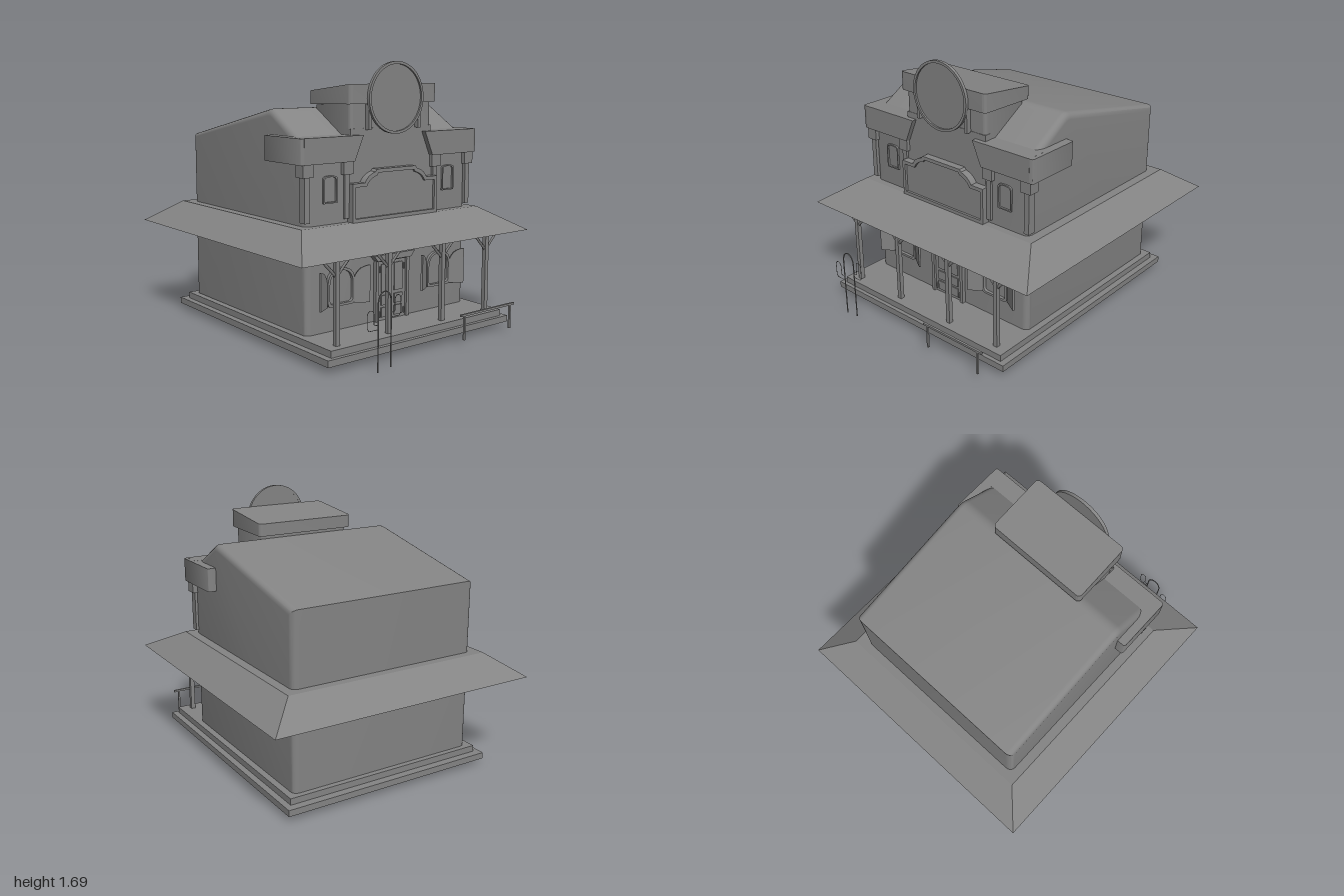
import * as THREE from 'three';
import { toCreasedNormals } from 'three/addons/utils/BufferGeometryUtils.js';

const grey = new THREE.MeshStandardMaterial({ color: 0x848484, side: THREE.DoubleSide });

export function createModel() {
  const model = new THREE.Group();
  const add = (name, geometry) => {
    const mesh = new THREE.Mesh(geometry, grey);
    mesh.name = name;
    model.add(mesh);
    return mesh;
  };
  // Box from its limits on each axis
  const box = (name, x0, x1, y0, y1, z0, z1) =>
    add(name, new THREE.BoxGeometry(Math.abs(x1 - x0), y1 - y0, z1 - z0)
      .translate((x0 + x1) / 2, (y0 + y1) / 2, (z0 + z1) / 2));
  const shapeOf = pts => new THREE.Shape(pts.map(p => new THREE.Vector2(p[0], p[1])));
  // Outline in x, y given thickness in z
  const slab = (name, shape, z0, z1) =>
    add(name, toCreasedNormals(new THREE.ExtrudeGeometry(shape,
      { depth: z1 - z0, bevelEnabled: false, curveSegments: 10 }).translate(0, 0, z0), 0.6));
  // Block with rounded upright corners; its top and bottom drop by a rule towards the back
  const roundedBlock = (name, x, hw, y0, y1, z0, z1, r, dropBottom = 0, dropTop = 0) => {
    const s = new THREE.Shape();
    const hz = (z1 - z0) / 2;
    s.absarc(hw - r, hz - r, r, 0, Math.PI / 2);
    s.absarc(r - hw, hz - r, r, Math.PI / 2, Math.PI);
    s.absarc(r - hw, r - hz, r, Math.PI, Math.PI * 1.5);
    s.absarc(hw - r, r - hz, r, Math.PI * 1.5, Math.PI * 2);
    const g = new THREE.ExtrudeGeometry(s, { depth: y1 - y0, bevelEnabled: false, curveSegments: 6 })
      .rotateX(-Math.PI / 2).translate(x, y0, (z0 + z1) / 2);
    const p = g.attributes.position;
    for (let i = 0; i < p.count; i++) {
      const drop = p.getY(i) > (y0 + y1) / 2 ? dropTop : dropBottom;
      p.setY(i, p.getY(i) - drop * (z1 - p.getZ(i)) / (z1 - z0));
    }
    g.computeVertexNormals();
    return add(name, toCreasedNormals(g, 0.6));
  };
  // Opening with a softly arched head
  const arch = (x0, x1, y0, y1, rise, r) => {
    const s = new THREE.Shape();
    s.moveTo(x0 + r, y0);
    s.lineTo(x1 - r, y0);
    s.quadraticCurveTo(x1, y0, x1, y0 + r);
    s.lineTo(x1, y1 - rise);
    s.bezierCurveTo(x1, y1 - rise * 0.3, x1 - rise * 0.5, y1, (x0 + x1) / 2, y1);
    s.bezierCurveTo(x0 + rise * 0.5, y1, x0, y1 - rise * 0.3, x0, y1 - rise);
    s.lineTo(x0, y0 + r);
    s.quadraticCurveTo(x0, y0, x0 + r, y0);
    return s;
  };
  const ring = (outer, inner) => { outer.holes.push(inner); return outer; };
  const rod = (name, pts, r, sides) => {
    const curve = new THREE.CurvePath();
    const v = pts.map(p => new THREE.Vector3(...p));
    for (let i = 1; i < v.length; i++) curve.add(new THREE.LineCurve3(v[i - 1], v[i]));
    return add(name, new THREE.TubeGeometry(curve, (v.length - 1) * 6, r, sides));
  };

  // Base steps
  box('lowerStep', -0.72, 0.72, 0.04, 0.08, -0.83, 0.855);
  box('upperStep', -0.68, 0.68, 0.08, 0.12, -0.78, 0.83);

  // Main building: side profile with a soft ridge, extruded across with rounded ends
  const profile = shapeOf([[-0.745, 0.09], [0.54, 0.09], [0.54, 1.21], [0.45, 1.266], [0.235, 1.396]]);
  profile.quadraticCurveTo(0.2, 1.419, 0.16, 1.41);
  profile.lineTo(-0.745, 1.215);
  const r = 0.04;
  add('building', toCreasedNormals(new THREE.ExtrudeGeometry(profile, {
    depth: 2 * (0.64 - r), bevelSize: r, bevelThickness: r, bevelOffset: -r, bevelSegments: 5, curveSegments: 6
  }).translate(0, 0, r - 0.64).rotateY(-Math.PI / 2), 0.6));

  // Porch roof: a box whose lower rim is spread outwards
  const skirt = new THREE.BoxGeometry(1, 1, 1);
  const p = skirt.attributes.position;
  for (let i = 0; i < p.count; i++) {
    const top = p.getY(i) > 0;
    const z = p.getZ(i) > 0 ? (top ? 0.587 : 0.858) : (top ? -0.8 : -1);
    p.setXYZ(i, Math.sign(p.getX(i)) * (top ? 0.7 : 0.893), top ? 0.757 : 0.618, z);
  }
  skirt.computeVertexNormals();
  add('porchRoof', skirt);

  // Tower and its sloping cap
  roundedBlock('tower', 0, 0.318, 1.03, 1.445, 0.2, 0.54, 0.02, 0, 0.015);
  roundedBlock('towerCap', 0, 0.342, 1.443, 1.558, 0.17, 0.567, 0.025, 0.01, 0.045);
  box('upperWall', -0.32, 0.32, 0.75, 1.3, 0.5, 0.543);

  // Round sign with raised rim
  add('signDisc', new THREE.CylinderGeometry(0.202, 0.202, 0.008, 48).rotateX(Math.PI / 2).translate(0, 1.475, 0.572));
  const rim = new THREE.Shape().absarc(0, 1.475, 0.214, 0, Math.PI * 2);
  rim.holes.push(new THREE.Path().absarc(0, 1.475, 0.198, 0, Math.PI * 2));
  add('signRim', toCreasedNormals(new THREE.ExtrudeGeometry(rim,
    { depth: 0.02, bevelEnabled: false, curveSegments: 32 }).translate(0, 0, 0.567), 0.6));

  // Notched sign board over the porch
  const board = k => {
    const s = new THREE.Shape();
    const x = 0.337 - k, y = 0.985 - k, n = 0.225 - k * 0.6, t = 1.06 - k;
    s.moveTo(-x, 0.755 + k);
    s.lineTo(x, 0.755 + k);
    s.lineTo(x, y);
    s.lineTo(n + 0.02, y);
    s.quadraticCurveTo(n, y + 0.045, n - 0.06, t - 0.015);
    s.lineTo(n - 0.07, t);
    s.lineTo(-n + 0.07, t);
    s.lineTo(-n + 0.06, t - 0.015);
    s.quadraticCurveTo(-n, y + 0.045, -n - 0.02, y);
    s.lineTo(-x, y);
    s.closePath();
    return s;
  };
  slab('boardPanel', board(0.01), 0.535, 0.575);
  slab('boardFrame', ring(board(0), board(0.022)), 0.535, 0.59);

  for (const s of [-1, 1]) {
    const sideBox = (name, x0, x1, ...rest) => box(name, s * x0, s * x1, ...rest);
    sideBox('signHanger', 0.185, 0.205, 1.29, 1.44, 0.54, 0.572);

    // Cornice wrapping the front corner
    slab('cornice', shapeOf([[0.245, 1.263], [0.67, 1.263], [0.67, 1.113], [0.31, 1.113]]
      .map(([x, y]) => [s * x, y])), 0.45, 0.575);
    roundedBlock('corniceReturn', s * 0.6475, 0.0475, 1.1135, 1.2625, 0.203, 0.5745, 0.014);

    // Pilasters with brackets
    for (const x of [0.35, 0.638]) {
      sideBox('pilasterBracket', x - 0.036, x + 0.036, 1.04, 1.115, 0.495, 0.567);
      sideBox('pilaster', x - 0.018, x + 0.018, 0.78, 1.04, 0.505, 0.556);
    }

    // Upper window
    const u = s * 0.47;
    slab('upperWindowFrame', ring(arch(u - 0.05, u + 0.05, 0.88, 1.04, 0.02, 0.004),
      arch(u - 0.042, u + 0.042, 0.888, 1.032, 0.02, 0.004)), 0.53, 0.552);

    // Ground floor window with half-open shutters
    const c = s * 0.395;
    slab('windowFrame', ring(arch(c - 0.1, c + 0.1, 0.268, 0.495, 0.09, 0.03),
      arch(c - 0.085, c + 0.085, 0.283, 0.48, 0.08, 0.025)), 0.53, 0.56);
    for (const d of [-1, 1]) {
      const leaf = new THREE.Shape();
      leaf.moveTo(0, 0.268);
      leaf.lineTo(d * 0.1, 0.268);
      leaf.lineTo(d * 0.1, 0.495);
      leaf.quadraticCurveTo(d * 0.025, 0.49, 0, 0.41);
      const shutter = slab('shutter', leaf, -0.006, 0.006);
      shutter.position.set(c + d * 0.1, 0, 0.545);
      shutter.rotation.y = -d * 0.55;
    }

    // Porch posts with two diagonal braces each
    for (const x of [0.215, 0.597]) {
      sideBox('porchPost', x - 0.014, x + 0.014, 0.11, 0.63, 0.755, 0.783);
      for (const d of [-1, 1])
        rod('postBrace', [[s * x, 0.51, 0.769], [s * x + d * 0.105, 0.62, 0.769]], 0.01, 4);
    }

    // Door leaf with raised panels and hinges
    sideBox('doorLeaf', 0.002, 0.112, 0.12, 0.49, 0.53, 0.55);
    for (const [y0, y1] of [[0.14, 0.2], [0.215, 0.275], [0.295, 0.47]])
      sideBox('doorPanel', 0.02, 0.085, y0, y1, 0.54, 0.557);
    for (const y of [0.16, 0.44]) sideBox('doorHinge', 0.094, 0.102, y - 0.018, y + 0.018, 0.545, 0.56);
    sideBox('doorJamb', 0.112, 0.134, 0.12, 0.5, 0.53, 0.565);

    // Hitching rail posts
    box('railPost', 0.42 + s * 0.2 - 0.006, 0.42 + s * 0.2 + 0.006, 0.04, 0.195, 0.954, 0.966);
  }

  // Door head, hitching rail
  box('doorHead', -0.134, 0.134, 0.49, 0.502, 0.53, 0.565);
  slab('doorLintel', shapeOf([[-0.134, 0.498], [0.134, 0.498], [0.165, 0.535], [-0.165, 0.535]]), 0.53, 0.582);
  box('hitchingRail', 0.19, 0.655, 0.187, 0.2, 0.953, 0.967);

  // Thin wire cactus outline standing in front
  const wire = (name, radius, pts) => rod(name, pts.map(([x, y]) => [x, y, 0.994]), radius, 5);
  const bend = (x0, x1, y, rise) => Array.from({ length: 9 }, (_, i) => {
    const a = Math.PI * (1 - i / 8);
    return [(x0 + x1) / 2 + (x1 - x0) / 2 * Math.cos(a), y + rise * Math.sin(a)];
  });
  wire('cactusTrunk', 0.004, [[-0.485, 0.002], ...bend(-0.485, -0.392, 0.39, 0.063), [-0.392, 0.015]]);
  wire('cactusArm', 0.002, [[-0.485, 0.245], [-0.55, 0.245], [-0.563, 0.262],
    ...bend(-0.563, -0.515, 0.33, 0.028), [-0.515, 0.275], [-0.485, 0.268]]);
  wire('cactusArm', 0.002, [[-0.392, 0.3], [-0.335, 0.3], [-0.322, 0.315],
    ...bend(-0.322, -0.365, 0.39, 0.028), [-0.365, 0.33], [-0.392, 0.325]]);

  return model;
}
